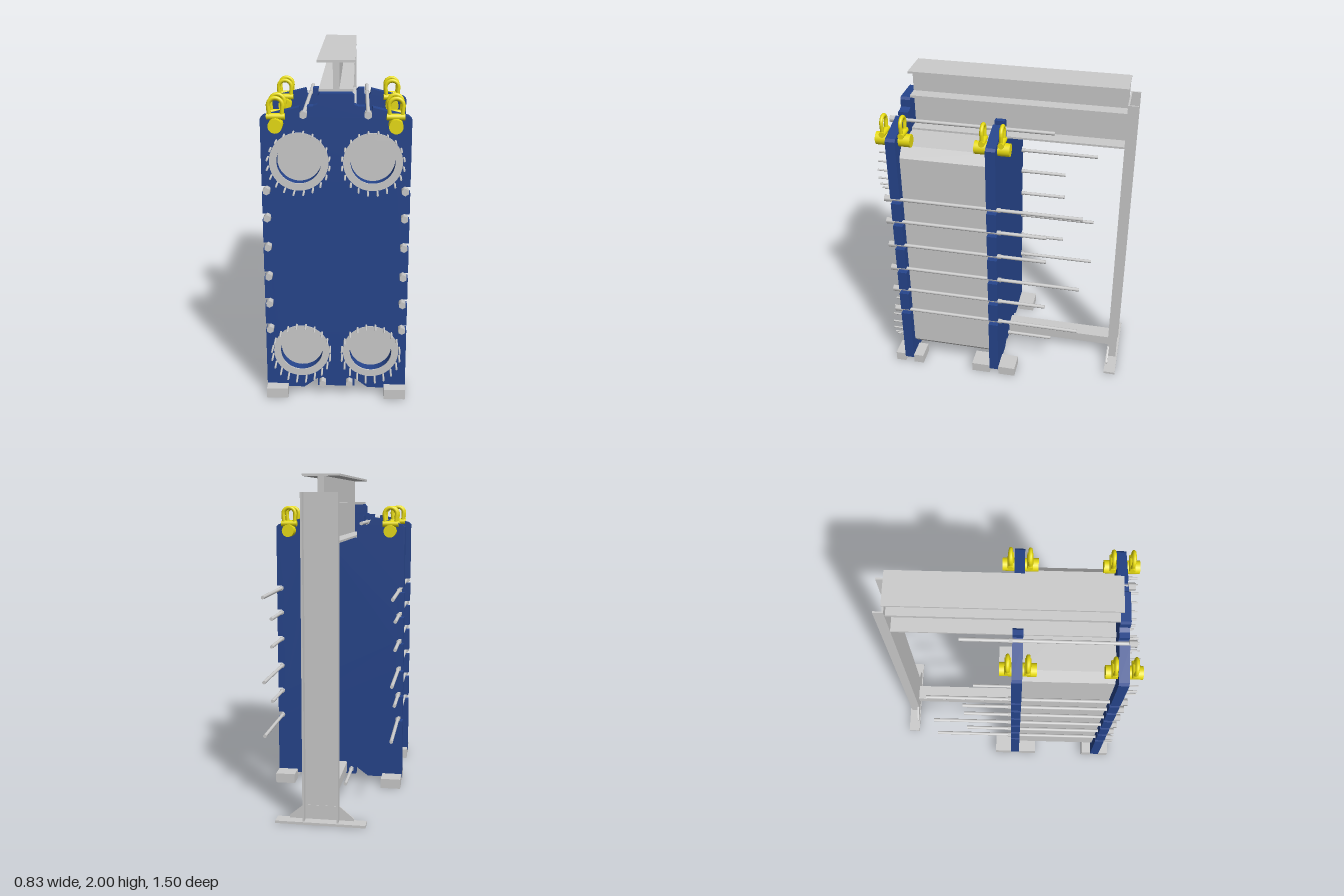
import * as THREE from 'three';

const grey = new THREE.MeshStandardMaterial({ color: 0xcccccc });
const blue = new THREE.MeshStandardMaterial({ color: 0x26458c });
const yellow = new THREE.MeshStandardMaterial({ color: 0xe8dc10 });

export function createModel() {
  const model = new THREE.Group();

  const add = (name, geometry, material = grey, parent = model) => {
    const mesh = new THREE.Mesh(geometry, material);
    mesh.name = name;
    parent.add(mesh);
    return mesh;
  };
  // Box given by its limits on each axis
  const box = (name, x0, x1, y0, y1, z0, z1, material = grey) =>
    add(name, new THREE.BoxGeometry(x1 - x0, y1 - y0, z1 - z0), material)
      .position.set((x0 + x1) / 2, (y0 + y1) / 2, (z0 + z1) / 2);
  // Cylinder lying along z
  const rod = (name, x, y, z0, z1, r, sides = 12, material = grey, parent = model) => {
    const g = new THREE.CylinderGeometry(r, r, z1 - z0, sides).rotateX(Math.PI / 2);
    add(name, g, material, parent).position.set(x, y, (z0 + z1) / 2);
  };
  // Symmetric outline from its right half, bottom to top
  const mirrored = (half) => new THREE.Shape([
    ...half.map(([x, y]) => new THREE.Vector2(x, y)),
    ...half.slice().reverse().map(([x, y]) => new THREE.Vector2(-x, y)),
  ]);
  const slab = (name, shape, z0, z1, material = grey) =>
    add(name, new THREE.ExtrudeGeometry(shape, { depth: z1 - z0, bevelEnabled: false, curveSegments: 32 }), material)
      .position.z = z0;

  const boltYs = [0.44, 0.605, 0.775, 0.955, 1.13, 1.29];
  const ports = [[-0.205, 0.285], [0.205, 0.285], [-0.205, 1.45], [0.205, 1.45]];
  const hole = (x, y, r) => new THREE.Path().absarc(x, y, r, 0, Math.PI * 2, true);

  // End plates with open bolt slots along their edges
  const plateShape = (crown) => mirrored([
    [0.11, 0.05], [0.11, 0.1], [0.19, 0.04], [0.415, 0.04],
    ...boltYs.flatMap((y) => [[0.415, y - 0.018], [0.385, y - 0.018], [0.369, y], [0.385, y + 0.018], [0.415, y + 0.018]]),
    [0.415, 1.69], [0.4, 1.705], [0.2, 1.755], [0.193, 1.72], [0.175, 1.703], [0.157, 1.72], [0.157, 1.76],
    ...crown,
  ]);
  const frontShape = plateShape([[0.125, 1.76], [0.1, 1.77], [0.1, 1.815], [0.088, 1.83]]);
  ports.forEach(([x, y]) => frontShape.holes.push(hole(x, y, 0.125)));
  slab('frontPlate', frontShape, 0.61, 0.67, blue);
  slab('rearPlate', plateShape([[0.125, 1.76], [0.11, 1.745], [0.11, 1.62]]), 0.02, 0.08, blue);

  // Plate pack with chamfered corners
  slab('platePack', mirrored([[0.31, 0.11], [0.36, 0.165], [0.36, 1.56], [0.31, 1.62]]), 0.08, 0.61);

  // Port rings and their studs
  ports.forEach(([px, py]) => {
    const ring = new THREE.Shape().absarc(px, py, 0.165, 0, Math.PI * 2);
    ring.holes.push(hole(px, py, 0.124));
    slab('portRing', ring, 0.668, 0.676);
    for (let i = 0; i < 20; i++) {
      const a = ((i + 0.5) / 20) * Math.PI * 2;
      rod('portStud', px + 0.172 * Math.cos(a), py + 0.172 * Math.sin(a), 0.67, 0.745, 0.006, 8);
    }
  });

  // Tie rods with hexagonal heads
  const tieRod = (x, y, back) => {
    rod('tieRod', x, y, back, 0.68, 0.011);
    rod('tieRodHead', x, y, 0.67, 0.715, 0.022, 6);
    rod('tieRodNut', x, y, 0.0, 0.02, 0.016, 6);
  };
  for (const s of [-1, 1]) {
    boltYs.forEach((y, i) => tieRod(s * 0.385, y, [0, 2, 5].includes(i) ? -0.49 : -0.28));
    tieRod(s * 0.175, 1.72, -0.28);
    tieRod(s * 0.08, 0.085, -0.28);
  }

  // Carrying beam: two stacked I sections
  box('beamTopFlange', -0.105, 0.105, 1.988, 2, -0.68, 0.61);
  box('beamUpperWeb', -0.018, 0.018, 1.845, 1.988, -0.68, 0.61);
  box('beamMiddleFlange', -0.095, 0.095, 1.83, 1.845, -0.68, 0.61);
  box('beamLowerWeb', -0.018, 0.018, 1.637, 1.83, -0.68, 0.61);
  box('beamBottomFlange', -0.105, 0.105, 1.625, 1.637, -0.68, 0.61);

  // Lower guide rail
  box('guideRail', -0.05, 0.05, 0.07, 0.132, -0.68, 0.61);

  // Rear support column, a channel open to the back, with base and gussets
  box('columnWeb', -0.105, 0.105, 0.015, 1.9, -0.69, -0.68);
  for (const s of [-1, 1]) {
    box('columnFlange', s * 0.1 - 0.005, s * 0.1 + 0.005, 0.015, 1.9, -0.74, -0.68);
  }
  box('columnBase', -0.265, 0.265, 0, 0.015, -0.75, -0.675);
  slab('columnGusset', mirrored([[0.19, 0.015], [0.19, 0.03], [0.105, 0.1]]), -0.692, -0.682);

  // Feet on both faces of each end plate
  for (const x of [-0.35, 0.35]) {
    for (const [z0, z1] of [[0.67, 0.735], [0.545, 0.61], [0.08, 0.2], [-0.09, 0.02]]) {
      box('foot', x - 0.063, x + 0.063, 0, 0.062, z0, z1);
    }
  }

  // Lifting lugs: a pin through the plate and a shackle on each side
  const arch = new THREE.CurvePath();
  const bend = new THREE.CatmullRomCurve3(Array.from({ length: 9 }, (_, i) =>
    new THREE.Vector3(0.039 * Math.cos(i * Math.PI / 8), 0.056 + 0.039 * Math.sin(i * Math.PI / 8), 0)));
  arch.add(new THREE.LineCurve3(new THREE.Vector3(0.034, 0, 0), new THREE.Vector3(0.039, 0.056, 0)));
  arch.add(bend);
  arch.add(new THREE.LineCurve3(new THREE.Vector3(-0.039, 0.056, 0), new THREE.Vector3(-0.034, 0, 0)));
  const archGeometry = new THREE.TubeGeometry(arch, 28, 0.012, 10);
  for (const x of [-0.325, 0.325]) {
    for (const z of [0.645, 0.055]) {
      const lug = new THREE.Group();
      lug.name = 'liftingLug';
      lug.position.set(x, 1.665, z);
      model.add(lug);
      rod('lugPin', 0, 0, -0.105, 0.105, 0.039, 24, yellow, lug);
      for (const dz of [-0.058, 0.055]) {
        add('shackle', archGeometry, yellow, lug).position.set(0, 0.05, dz);
        const pin = new THREE.CylinderGeometry(0.018, 0.018, 0.1, 16).rotateZ(Math.PI / 2);
        add('shacklePin', pin, yellow, lug).position.set(0, 0.045, dz);
      }
    }
  }
  return model;
}
